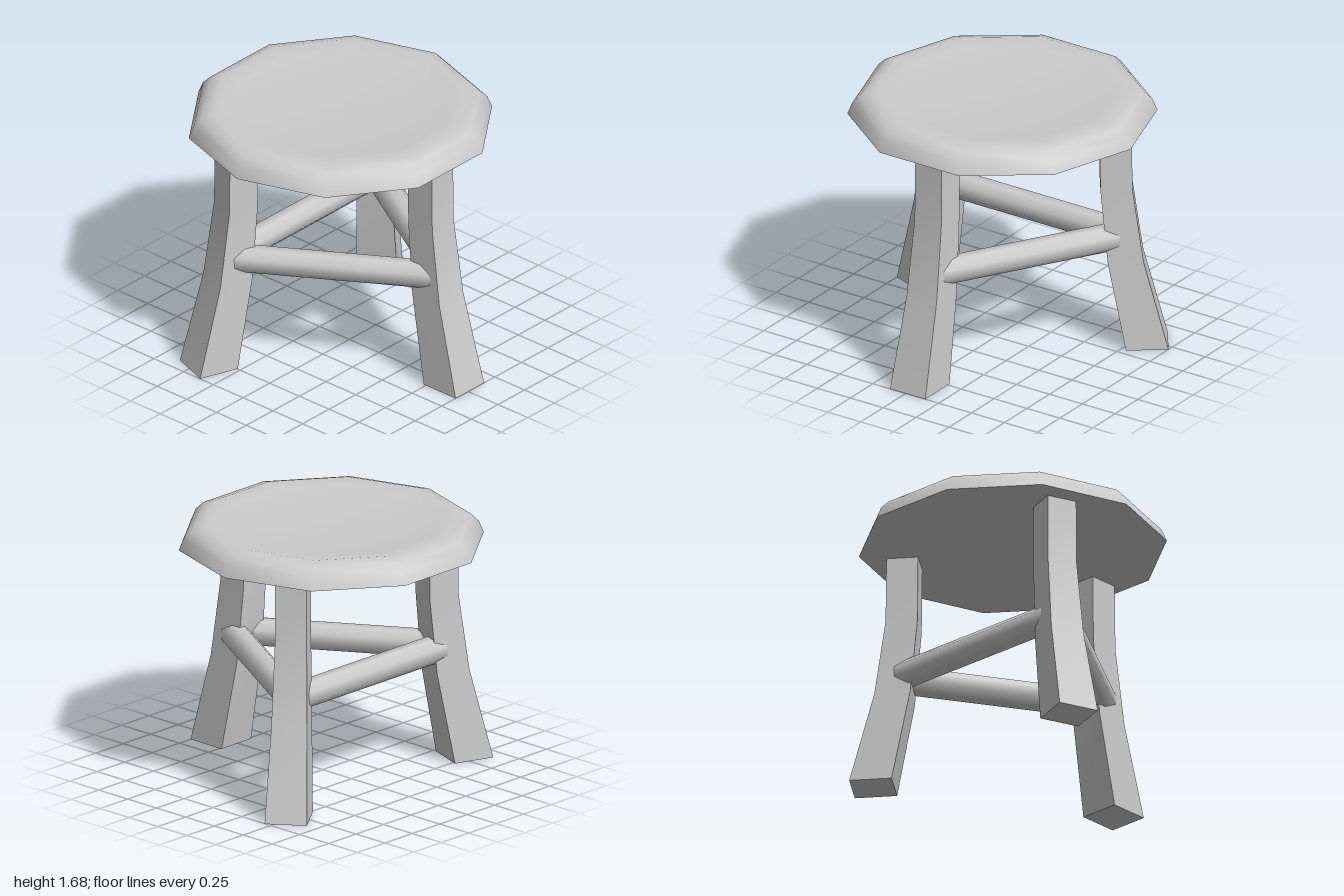
import * as THREE from 'three';
import { toCreasedNormals } from 'three/addons/utils/BufferGeometryUtils.js';

const grey = new THREE.MeshStandardMaterial({ color: 0xcccccc });

function addMesh(parent, name, geometry) {
  const mesh = new THREE.Mesh(geometry, grey);
  mesh.name = name;
  parent.add(mesh);
  return mesh;
}

// Ten-sided seat: rounded rim, slightly dished top, flat underside
function makeSeat() {
  const seat = new THREE.Group();
  seat.name = 'seat';
  const profile = [
    [0.973, 1.535], [0.942, 1.61], [0.892, 1.66], [0.81, 1.685],
    [0.7, 1.67], [0.4, 1.645], [0, 1.64],
  ].map(([r, y]) => new THREE.Vector2(r, y));
  addMesh(seat, 'seatTop', new THREE.LatheGeometry(profile, 10, Math.PI / 10));
  const underside = addMesh(seat, 'seatUnderside', new THREE.CircleGeometry(0.973, 10));
  underside.rotation.x = Math.PI / 2;
  underside.position.y = 1.535;
  seat.position.z = -0.075;
  return seat;
}

// Square leg that splays outward (local +z) and thickens toward the foot
const legSections = [ // height, outward offset from the foot centre, half width
  [0, 0, 0.134], [0.6, -0.135, 0.113], [1.1, -0.1925, 0.101], [1.54, -0.1975, 0.1],
];
function makeLegGeometry() {
  const geometry = new THREE.BoxGeometry(2, 3, 2, 1, 3, 1);
  const p = geometry.attributes.position;
  for (let i = 0; i < p.count; i++) {
    const [y, offset, half] = legSections[Math.round(p.getY(i) + 1.5)];
    p.setXYZ(i, p.getX(i) * half, y, p.getZ(i) * half + offset);
  }
  return toCreasedNormals(geometry, 0.6);
}

// Eight-sided rung along z with a flat side up
function makeRungGeometry(length) {
  const radius = 0.0825 / Math.cos(Math.PI / 8);
  return new THREE.CylinderGeometry(radius, radius, length, 8, 1, false, Math.PI / 8)
    .rotateX(Math.PI / 2);
}

export function createModel() {
  const stool = new THREE.Group();
  stool.name = 'stool';
  stool.add(makeSeat());

  // Three legs: foot centre and outward direction
  const legGeometry = makeLegGeometry();
  const legs = [
    ['frontLeg', 0.015, 0.866, 0, 1],
    ['leftBackLeg', 0.818, -0.483, 0.81, -0.58],
    ['rightBackLeg', -0.827, -0.443, -0.94, -0.34],
  ];
  for (const [name, x, z, dx, dz] of legs) {
    const leg = addMesh(stool, name, legGeometry);
    leg.position.set(x, 0, z);
    leg.rotation.y = Math.atan2(dx, dz);
  }

  // Three rungs in a triangle, their ends let into the legs
  const rungs = [
    ['leftRung', 0.039, 0.739, 0.699, -0.383],
    ['rightRung', -0.014, 0.738, -0.696, -0.369],
    ['backRung', -0.67, -0.404, 0.67, -0.404],
  ];
  for (const [name, x1, z1, x2, z2] of rungs) {
    const a = new THREE.Vector3(x1, 0.7475, z1);
    const b = new THREE.Vector3(x2, 0.7475, z2);
    const rung = addMesh(stool, name, makeRungGeometry(a.distanceTo(b)));
    rung.position.copy(a).add(b).multiplyScalar(0.5);
    rung.lookAt(b);
  }
  return stool;
}
